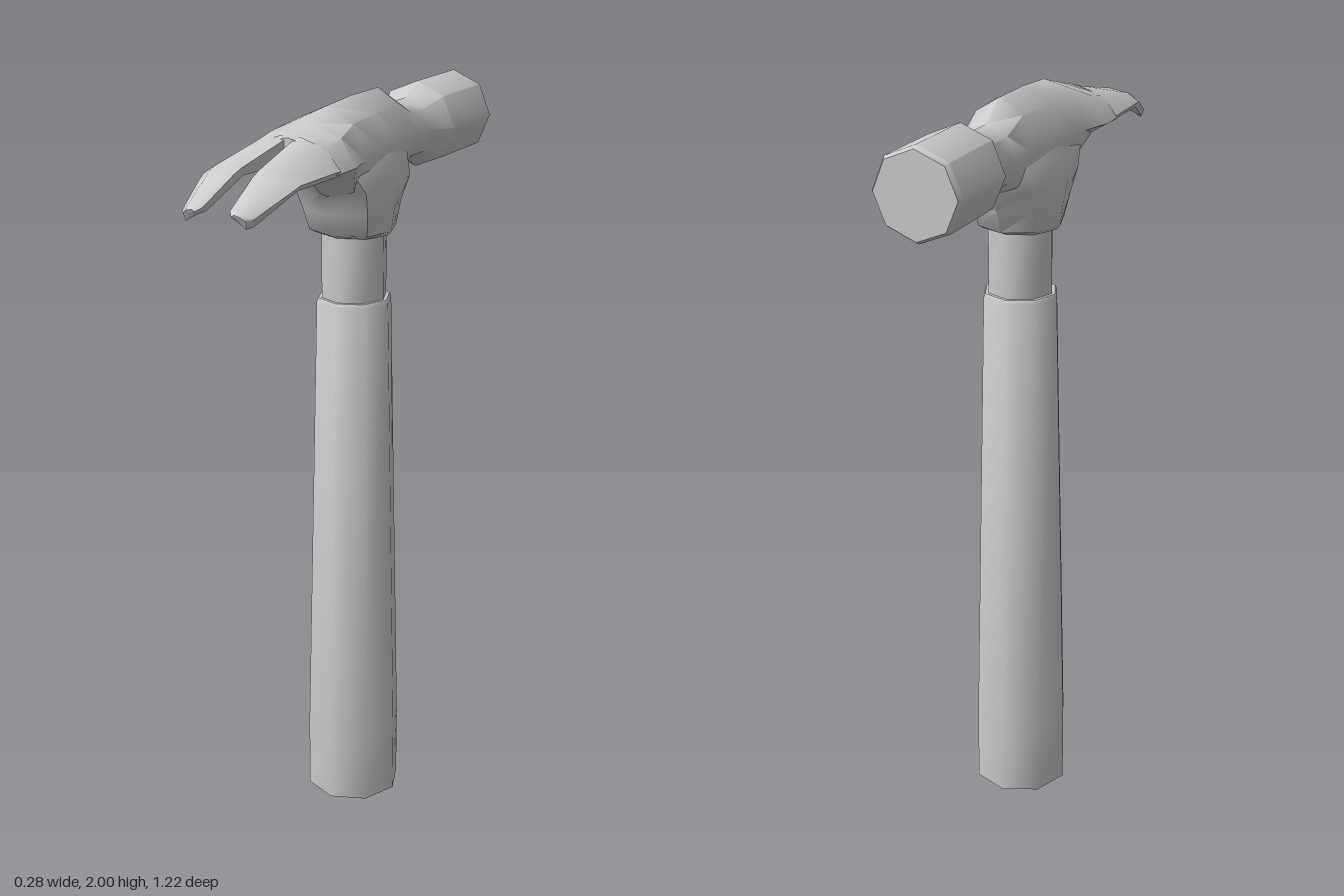
import * as THREE from 'three';
import { toCreasedNormals } from 'three/addons/utils/BufferGeometryUtils.js';

const SIDES = 8;
const AXIS_Z = -0.037; // centre line of the handle
const HEAD_Y = 1.87; // centre line of the head

const material = new THREE.MeshStandardMaterial({ color: 0xcccccc, side: THREE.DoubleSide });

// Skins a list of rings (arrays of [x, y, z], anticlockwise seen from the far end) and caps both ends.
function loft(name, rings, crease = 0.87) {
  const n = rings[0].length;
  const positions = rings.flat(2);
  const index = [];
  for (let i = 0; i < rings.length - 1; i++) {
    for (let j = 0; j < n; j++) {
      const a = i * n + j, b = i * n + (j + 1) % n;
      index.push(a, b, b + n, a, b + n, a + n);
    }
  }
  const cap = (start, flip) => {
    const centre = positions.length / 3;
    const mid = [0, 0, 0];
    for (let j = 0; j < n; j++) for (let k = 0; k < 3; k++) mid[k] += positions[(start + j) * 3 + k] / n;
    positions.push(...mid);
    for (let j = 0; j < n; j++) {
      const a = start + j, b = start + (j + 1) % n;
      index.push(centre, flip ? b : a, flip ? a : b);
    }
  };
  cap(0, true);
  cap((rings.length - 1) * n, false);
  const geometry = new THREE.BufferGeometry();
  geometry.setAttribute('position', new THREE.Float32BufferAttribute(positions, 3));
  geometry.setIndex(index);
  const mesh = new THREE.Mesh(toCreasedNormals(geometry, crease), material);
  mesh.name = name;
  return mesh;
}

// Octagon lying flat at height y, with its own front and back reach;
// full > 1 squares off its front corners.
function flatRing(y, rx, back, front, full = 1) {
  return Array.from({ length: SIDES }, (_, j) => {
    const t = (j / SIDES) * Math.PI * 2;
    const c = Math.cos(t), s = -Math.sin(t);
    const corner = s > 0.1 && s < 0.9 ? full : 1;
    return [rx * c * corner, y, AXIS_Z + s * (s > 0 ? front - AXIS_Z : AXIS_Z - back)];
  });
}

const roundRing = (y, r) => flatRing(y, r, AXIS_Z - r, AXIS_Z + r);

// Upright octagon across the head at depth z.
function headRing([z, rx, top, bottom]) {
  return Array.from({ length: SIDES }, (_, j) => {
    const t = (j / SIDES) * Math.PI * 2;
    const s = Math.sin(t);
    return [rx * Math.cos(t), HEAD_Y + s * (s > 0 ? top - HEAD_Y : HEAD_Y - bottom), z];
  });
}

// Arched cross-section of one claw prong; side is 1 or -1.
function prongRing([z, inner, outer, top, edge, bottom, lean], side) {
  const w = outer - inner;
  const points = [
    [inner, bottom + 0.02, z - lean],
    [inner + w * 0.6, bottom + 0.008, z - lean],
    [outer - w * 0.08, bottom, z - lean],
    [outer, edge, z - lean / 2],
    [inner + w * 0.7, top - (top - edge) * 0.32, z],
    [inner + w * 0.2, top - (top - edge) * 0.03, z],
    [inner, top - 0.006, z],
  ].map(([x, y, d]) => [x * side, y, d]);
  return side > 0 ? points : points.reverse();
}

export function createModel() {
  const group = new THREE.Group();

  // Grip and the thinner shaft above it
  group.add(loft('grip', [
    roundRing(0, 0.132), roundRing(0.2, 0.132), roundRing(1.465, 0.102), roundRing(1.475, 0.097),
  ]));
  group.add(loft('shaft', [roundRing(1.44, 0.088), roundRing(1.75, 0.088)]));

  // Flared socket joining the shaft to the head
  group.add(loft('socket', [
    flatRing(1.648, 0.1, -0.13, 0.055),
    flatRing(1.66, 0.11, -0.16, 0.082, 1.1),
    flatRing(1.72, 0.118, -0.18, 0.105, 1.15),
    flatRing(1.78, 0.13, -0.225, 0.14, 1.15),
    flatRing(1.835, 0.112, -0.235, 0.2, 1.2),
    flatRing(1.88, 0.088, -0.235, 0.21, 1.1),
  ]));

  // Striking face, neck and body: z, half width, top, bottom
  group.add(loft('head', [
    [-0.61, 0.107, 1.977, 1.763],
    [-0.597, 0.115, 1.985, 1.755],
    [-0.375, 0.115, 1.985, 1.755],
    [-0.315, 0.081, 1.951, 1.789],
    [-0.24, 0.08, 1.951, 1.787],
    [-0.16, 0.089, 2, 1.74],
    [-0.02, 0.103, 2, 1.72],
    [0.11, 0.115, 1.992, 1.755],
    [0.2, 0.139, 1.967, 1.835],
    [0.285, 0.139, 1.945, 1.862],
  ].map(headRing)));

  // Split claw: z, inner x, outer x, top, outer edge, bottom, lean
  const prong = [
    [0.27, 0.002, 0.139, 1.948, 1.875, 1.861, 0],
    [0.288, 0.012, 0.139, 1.943, 1.877, 1.862, 0],
    [0.45, 0.024, 0.134, 1.907, 1.876, 1.862, 0.005],
    [0.48, 0.026, 0.128, 1.897, 1.866, 1.852, 0.01],
    [0.595, 0.037, 0.098, 1.842, 1.823, 1.804, 0.012],
    [0.61, 0.05, 0.085, 1.833, 1.818, 1.799, 0.012],
  ];
  for (const side of [1, -1]) {
    group.add(loft(side > 0 ? 'leftClaw' : 'rightClaw', prong.map((p) => prongRing(p, side))));
  }
  return group;
}
